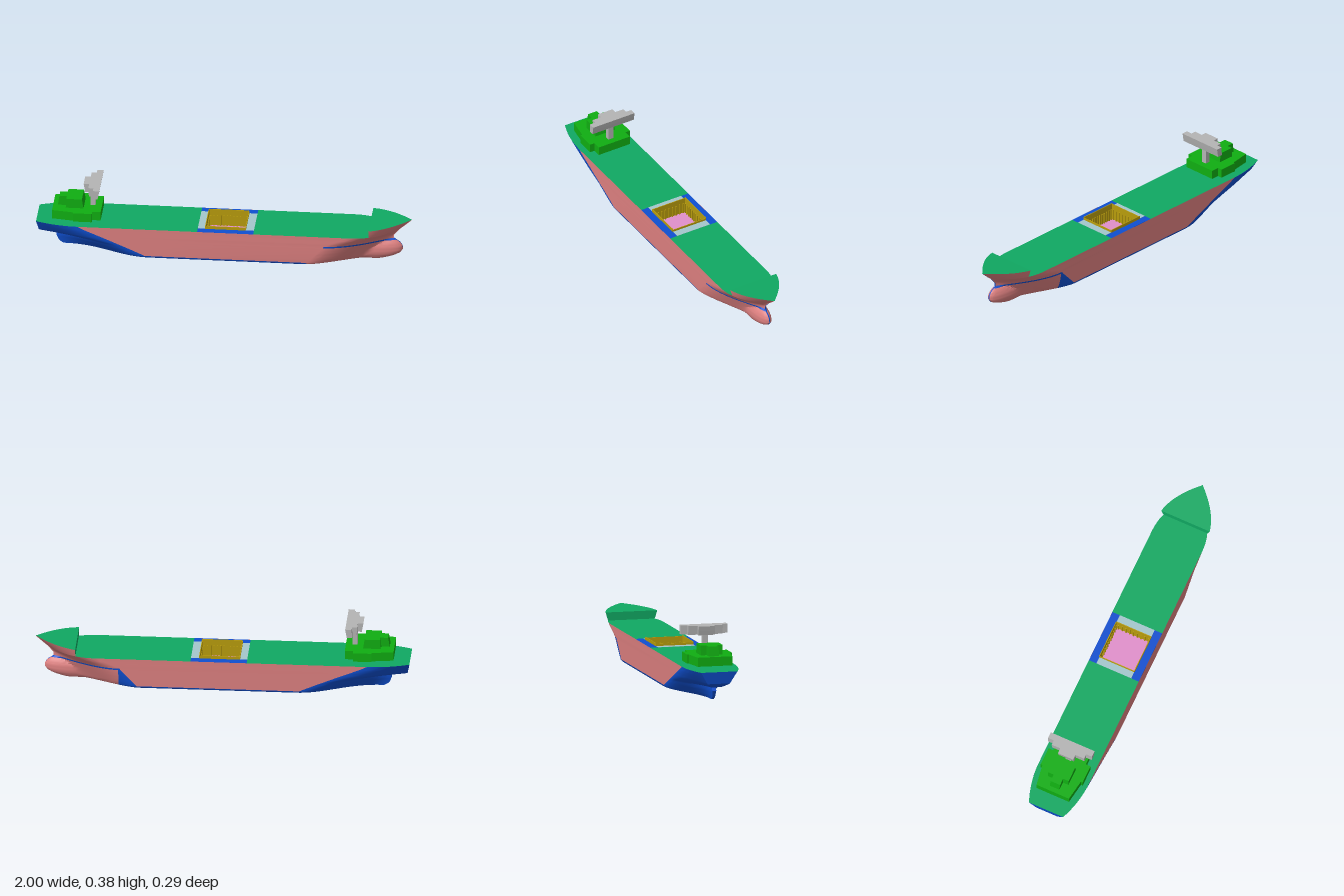
import * as THREE from 'three';
import { toCreasedNormals } from 'three/addons/utils/BufferGeometryUtils.js';

const C = { pink: 0xdc7f7f, blue: 0x0f4fd0, deck: 0x10a862, green: 0x10ae12, gold: 0xb89c0c,
  floor: 0xe08fcb, pale: 0xa4c6cc, grey: 0xb4b4b4 };
const mats = {};
const mat = (c) => mats[c] ??= new THREE.MeshStandardMaterial({ color: C[c], side: THREE.DoubleSide });
const DECK = 0.168, BEAM = 0.146;

const clamp = (t) => Math.min(1, Math.max(0, t));
const lerp = THREE.MathUtils.lerp;
// Piecewise linear curve through [y, value] points
const curve = (pts) => (y) => {
  let i = 0;
  while (i < pts.length - 2 && y > pts[i + 1][0]) i++;
  const [a, b] = [pts[i], pts[i + 1]];
  return lerp(a[1], b[1], clamp((y - a[0]) / (b[0] - a[0])));
};

// Hull lines as functions of height
const sternEnd = curve([[0, -.86], [.015, -.885], [.05, -.9], [.068, -.89], [.08, -.95], [.1, -.988], [DECK, -1]]);
const sternWidth = curve([[0, .006], [.068, .012], [.08, .03], [.1, .06], [DECK, .1]]);
const sternFull = curve([[0, -.4], [.01, -.41], [.05, -.5], [.105, -.63], [.15, -.74], [DECK, -.775]]);
const bowFull = curve([[0, .44], [.1, .535], [.115, .545], [DECK, .66], [.223, .74]]);
const bowEnd = curve([[0, .86], [.015, .91], [.03, .938], [.05, .952], [.07, .95], [.09, .937], [.11, .905],
  [.13, .905], [DECK, .937], [.223, 1]]);
const bowPower = curve([[0, 1.5], [.11, 1.8], [DECK, 2.5], [.223, 1.9]]);
const bowHollow = curve([[0, 1.8], [.11, 1.2], [DECK, 1]]);

// Half breadth of the hull at x, y
function half(x, y) {
  const r = clamp(1 - y / .012);
  const beam = BEAM - .01 * (1 - Math.sqrt(1 - r * r));
  if (x < 0) {
    const xs = sternEnd(y), t = clamp((x - xs) / (sternFull(y) - xs)), w = sternWidth(y);
    const hollow = Math.pow(t * t * (3 - 2 * t), 1.2), full = 1 - (1 - t) ** 2;
    return w + (beam - w) * lerp(hollow, full, clamp(y / DECK));
  }
  const xb = bowEnd(y), xf = bowFull(y), xe = y < .11 ? Math.min(xb, .905) : xb;
  const t = clamp((x - xf) / (xe - xf));
  const main = beam * Math.pow(1 - Math.pow(t, bowPower(y)), bowHollow(y));
  const tb = clamp((x - .8) / (xb - .8));
  const bulb = x > .7 ? .045 * Math.sqrt(Math.max(0, 1 - ((y - .05) / .062) ** 2)) * Math.sqrt(1 - tb * tb) : 0;
  return Math.max(main, bulb, .003);
}

function meshFrom(name, pos, index, color, crease = .6) {
  const g = new THREE.BufferGeometry();
  g.setAttribute('position', new THREE.Float32BufferAttribute(pos, 3));
  g.setIndex(index);
  const m = new THREE.Mesh(toCreasedNormals(g, crease), mat(color));
  m.name = name;
  return m;
}

// Skin over mirrored rows of +z points; paint(column, row, kind) picks a colour
function shell(group, name, rows, paint) {
  const n = rows[0].length, ring = 2 * n, pos = [], idx = {};
  for (const row of rows) {
    for (const [x, y, z] of row) pos.push(x, y, z);
    for (const [x, y, z] of [...row].reverse()) pos.push(x, y, -z);
  }
  for (let j = 0; j < rows.length - 1; j++) for (let k = 0; k < ring; k++) {
    const kind = k === n - 1 ? 'stem' : k === ring - 1 ? 'aft' : k < n ? 'left' : 'right';
    const a = j * ring + k, b = j * ring + (k + 1) % ring;
    (idx[paint(k < n ? k : ring - 2 - k, j, kind)] ??= []).push(a, b, b + ring, a, b + ring, a + ring);
  }
  for (const c in idx) group.add(meshFrom(name + c[0].toUpperCase() + c.slice(1), pos, idx[c], c));
}

// Flat skin between a line of +z points and its mirror
function plate(group, name, line, color, up = true) {
  const pos = line.flatMap(([x, y, z]) => [x, y, z, x, y, -z]), idx = [];
  for (let i = 0; i < line.length - 1; i++) {
    const a = 2 * i, q = [a, a + 2, a + 3, a, a + 3, a + 1];
    idx.push(...(up ? q : q.reverse()));
  }
  group.add(meshFrom(name, pos, idx, color));
}

function box(group, name, color, x0, x1, y0, y1, z0, z1) {
  const m = new THREE.Mesh(new THREE.BoxGeometry(x1 - x0, y1 - y0, z1 - z0), mat(color));
  m.position.set((x0 + x1) / 2, (y0 + y1) / 2, (z0 + z1) / 2);
  m.name = name;
  group.add(m);
}

// Upright block from a mirrored plan of [x, z]; the top can widen or narrow in x
function block(group, name, color, plan, y0, y1, topScale = 1) {
  const pts = [...plan, ...[...plan].reverse().map(([x, z]) => [x, -z])];
  const shape = new THREE.Shape(pts.map(([x, z]) => new THREE.Vector2(x, -z)));
  const g = new THREE.ExtrudeGeometry(shape, { depth: y1 - y0, bevelEnabled: false });
  g.rotateX(-Math.PI / 2).translate(0, y0, 0);
  const xs = plan.map((p) => p[0]), mid = (Math.min(...xs) + Math.max(...xs)) / 2, p = g.attributes.position;
  for (let i = 0; i < p.count; i++) if (p.getY(i) > (y0 + y1) / 2) p.setX(i, mid + (p.getX(i) - mid) * topScale);
  g.computeVertexNormals();
  const m = new THREE.Mesh(g, mat(color));
  m.name = name;
  group.add(m);
}

export function createModel() {
  const ship = new THREE.Group();
  ship.name = 'cargoShip';

  // Hull: stern, parallel middle and bow columns on each waterline
  const NS = 20, NB = 4, NE = 30;
  const levels = [0, .0015, .004, .008, .012, .02, .03, .04, .05, .06, .068, .074, .08, .088, .096, .103, .112,
    .12, .13, .14, .15, .16, DECK];
  const rows = levels.map((y) => {
    const xs = [], s0 = sternEnd(y), s1 = sternFull(y), b0 = bowFull(y), b1 = Math.max(b0 + .01, .55), b2 = bowEnd(y);
    for (let i = 0; i <= NS; i++) xs.push(lerp(s0, s1, i / NS));
    for (let i = 0; i <= NB; i++) xs.push(lerp(b0, b1, i / NB));
    for (let i = 1; i <= NE; i++) xs.push(lerp(b1, b2, Math.sin(i / NE * Math.PI / 2)));
    return xs.map((x) => [x, y, half(x, y)]);
  });
  shell(ship, 'hull', rows, (col, j, kind) => {
    if (kind === 'stem' || kind === 'aft' || col < NS) return 'blue';
    const y = levels[j];
    if (col === NS) return y < .012 ? 'blue' : 'pink';
    if (y === .103) return 'blue';
    return kind === 'right' && col < NS + 1 + NB && y < .103 ? 'blue' : 'pink';
  });
  plate(ship, 'hullBottom', rows[0], 'blue', false);

  // Raised foredeck with flared sides
  const fore = [];
  for (let j = 0; j <= 8; j++) {
    const s = j / 8, yb = lerp(DECK, .223, s), row = [];
    for (let i = 0; i <= 24; i++) {
      const x = lerp(.78, bowEnd(yb), Math.sin(i / 24 * Math.PI / 2));
      const top = .212 + (x - .78) / .22 * .011;
      row.push([x, lerp(DECK, top, s), half(x, yb)]);
    }
    fore.push(row);
  }
  shell(ship, 'foredeckSide', fore, (c, j, kind) => kind === 'stem' ? 'blue' : kind === 'aft' ? 'deck' : 'pink');
  plate(ship, 'foredeck', fore[8], 'deck');

  // Main deck on both sides of the hold
  const deckLine = (x0, x1) => Array.from({ length: 31 }, (_, i) => {
    const x = lerp(x0, x1, i / 30);
    return [x, DECK, half(x, DECK)];
  });
  plate(ship, 'aftDeck', deckLine(-1, -.135), 'deck');
  plate(ship, 'mainDeck', deckLine(.165, .79), 'deck');

  // Cargo hold: side decks, end strips, coaming, ribs and floor
  const hold = new THREE.Group();
  hold.name = 'cargoHold';
  ship.add(hold);
  const H0 = -.095, H1 = .12, HZ = .102, FLOOR = .09, RIM = .184;
  for (const s of [-1, 1]) {
    const [a, b] = [s * HZ, s * (BEAM - .0005)].sort((p, q) => p - q);
    box(hold, 'sideDeck', 'blue', -.135, .165, DECK - .006, DECK, a, b);
    box(hold, 'holdSideWall', 'gold', H0, H1, FLOOR, RIM, s * HZ - .002, s * HZ + .002);
    for (let i = 0; i < 12; i++) {
      const x = lerp(H0 + .01, H1 - .01, i / 11);
      box(hold, 'sideRib', 'gold', x - .003, x + .003, FLOOR, .15, s * .098 - .003, s * .098 + .003);
    }
  }
  for (const [x, inward] of [[H0, 1], [H1, -1]]) {
    box(hold, 'holdEndWall', 'gold', x - .002, x + .002, FLOOR, RIM - .004, -HZ, HZ);
    for (let i = 0; i < 9; i++) {
      const z = lerp(-.088, .088, i / 8), c = x + inward * .004;
      box(hold, 'endRib', 'gold', c - .003, c + .003, FLOOR, .15, z - .003, z + .003);
    }
  }
  box(hold, 'endStrip', 'pale', -.135, H0, DECK - .006, DECK + .001, -HZ, HZ);
  box(hold, 'endStrip', 'pale', H1, .165, DECK - .006, DECK + .001, -HZ, HZ);
  box(hold, 'holdFloor', 'floor', H0, H1, FLOOR - .004, FLOOR, -HZ, HZ);

  // Deckhouse tiers
  const house = new THREE.Group();
  house.name = 'deckhouse';
  ship.add(house);
  block(house, 'lowerTier', 'green', [[-.915, .095], [-.8, .113], [-.8, .123], [-.7, .123], [-.7, .096], [-.655, .096]], .187, .236);
  block(house, 'upperTier', 'green', [[-.89, .028], [-.845, .028], [-.845, .06], [-.75, .06]], .236, .288, .88);

  // Navigation bridge on its column
  box(house, 'bridgeColumn', 'grey', -.717, -.69, .2, .33, -.015, .015);
  const wings = [[-.742, .045], [-.718, .045], [-.718, .095], [-.696, .095], [-.696, .128], [-.668, .128]];
  block(house, 'bridgeLower', 'grey', wings, .327, .35, 1.12);
  const upper = wings.map(([x, z]) => [-.705 + (x + .705) * 1.12, z]);
  block(house, 'bridgeUpper', 'grey', upper, .35, .375, 1.1);
  return ship;
}
